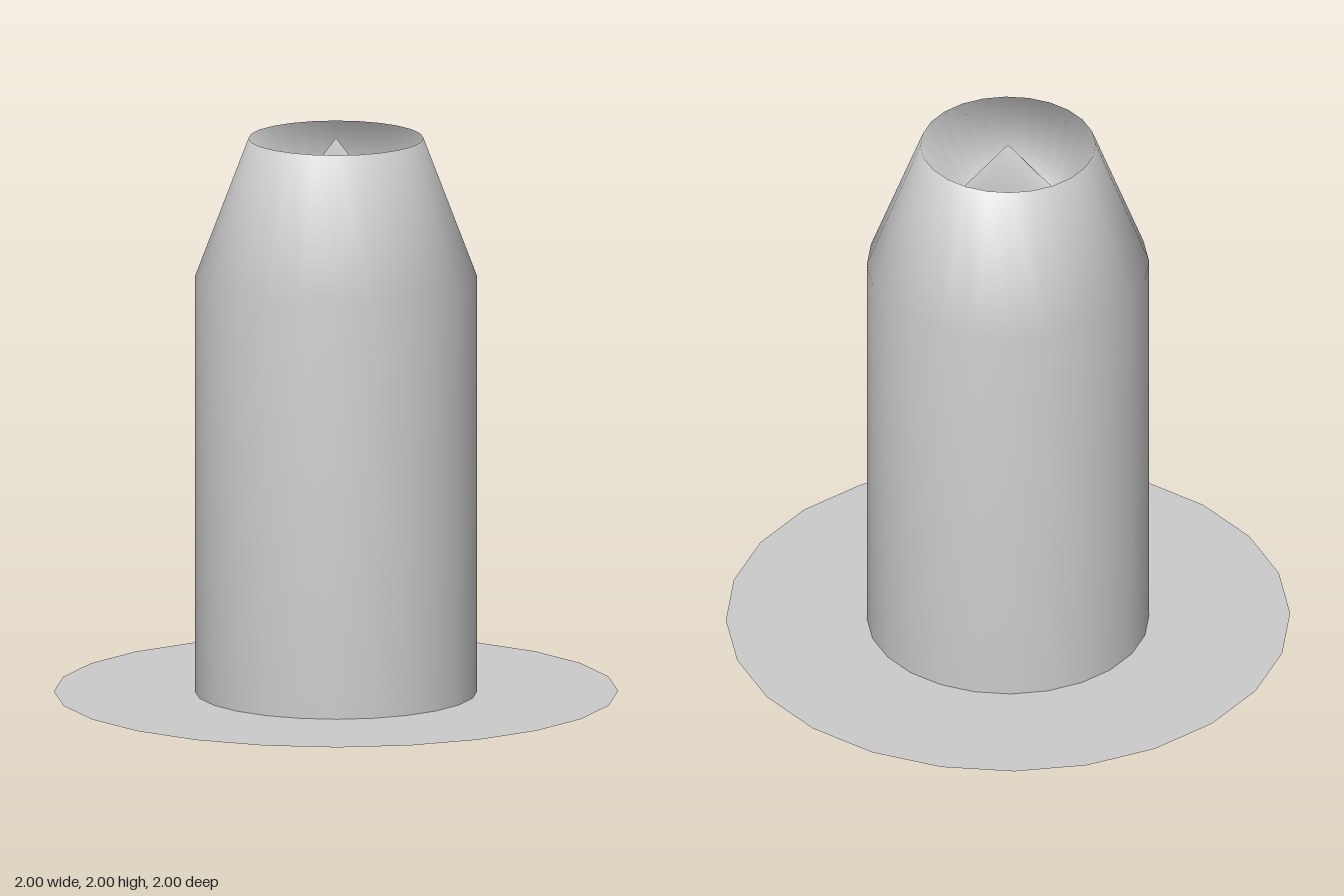
import * as THREE from 'three';
import { mergeVertices } from 'three/addons/utils/BufferGeometryUtils.js';

const SIDES = 24;

export function createModel() {
  const model = new THREE.Group();
  const material = new THREE.MeshStandardMaterial({ color: 0xcccccc, side: THREE.DoubleSide });

  // Open-bottomed shell: straight wall, tapered nose, hollow tip with a central spike
  const profile = [
    [0.5, 0], [0.5, 1.5], [0.31, 2], [0.19, 1.75], [0, 2],
  ].map(([r, y]) => new THREE.Vector2(r, y));
  let shell = new THREE.LatheGeometry(profile, SIDES);
  // Weld the seam so shading runs smoothly over every edge
  shell.deleteAttribute('uv');
  shell.deleteAttribute('normal');
  shell = mergeVertices(shell, 1e-5);
  shell.computeVertexNormals();
  const body = new THREE.Mesh(shell, material);
  body.name = 'hollowTippedBody';
  model.add(body);

  // Thin flat flange around the open base
  const ring = new THREE.RingGeometry(0.5, 1, SIDES).rotateX(-Math.PI / 2);
  const flange = new THREE.Mesh(ring, material);
  flange.name = 'baseFlange';
  model.add(flange);

  return model;
}
